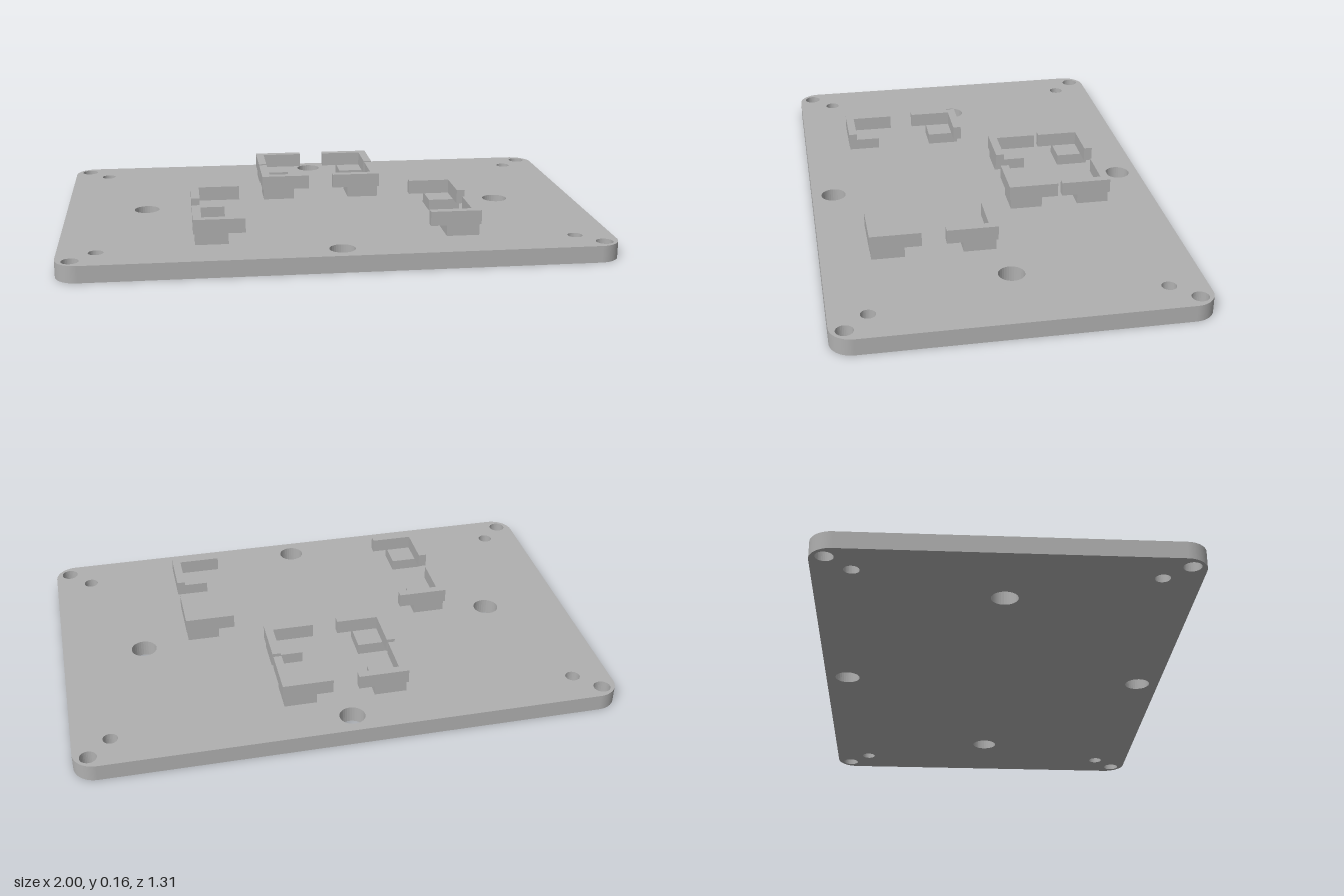
import * as THREE from 'three';

const PLATE_TOP = 0.062, LIP_BOTTOM = 0.104, LIP_TOP = 0.157;

// Extrudes a plan shape (x, -z) upward between two heights
function slab(shape, y0, y1, material, name) {
  const geo = new THREE.ExtrudeGeometry(shape, { depth: y1 - y0, bevelEnabled: false, curveSegments: 16 });
  geo.rotateX(-Math.PI / 2);
  geo.translate(0, y0, 0);
  const mesh = new THREE.Mesh(geo, material);
  mesh.name = name;
  return mesh;
}

function plateShape() {
  const w = 1, d = 0.653, r = 0.08;
  const s = new THREE.Shape();
  s.moveTo(-w + r, -d);
  s.absarc(w - r, -d + r, r, -Math.PI / 2, 0);
  s.absarc(w - r, d - r, r, 0, Math.PI / 2);
  s.absarc(-w + r, d - r, r, Math.PI / 2, Math.PI);
  s.absarc(-w + r, -d + r, r, Math.PI, Math.PI * 1.5);

  // Screw holes at the corners, larger holes mid-edge
  const hole = (x, y, radius) => s.holes.push(new THREE.Path().absarc(x, y, radius, 0, Math.PI * 2, true));
  for (const k of [-1, 1]) {
    for (const m of [-1, 1]) {
      hole(k * 0.945, m * 0.6, 0.031);
      hole(k * 0.862, m * 0.516, 0.027);
    }
    hole(k * 0.692, 0, 0.048);
    hole(0, k * 0.57, 0.047);
  }
  return s;
}

// Corner holder: a square post carrying an L-shaped lip.
// (x, z) is the outer corner; (dx, dz) point towards the pocket.
function cornerHolder(x, z, dx, dz, material) {
  const group = new THREE.Group();
  group.name = 'cornerHolder';
  const size = 0.187, wall = 0.031, inset = 0.006, post = 0.126;
  const outline = (pts) => new THREE.Shape(pts.map(([u, v]) => new THREE.Vector2(x + dx * u, -(z + dz * v))));
  group.add(slab(outline([[inset, inset], [post, inset], [post, post], [inset, post]]),
    PLATE_TOP, LIP_BOTTOM, material, 'post'));
  group.add(slab(outline([[0, 0], [size, 0], [size, wall], [wall, wall], [wall, size], [0, size]]),
    LIP_BOTTOM, LIP_TOP, material, 'lip'));
  return group;
}

export function createModel() {
  const model = new THREE.Group();
  model.name = 'mountingPlate';
  const grey = new THREE.MeshStandardMaterial({ color: 0xb0b0b0 });
  grey.name = 'grey';

  model.add(slab(plateShape(), 0, PLATE_TOP, grey, 'basePlate'));

  // Two pockets: half width, back z, front z
  const pockets = [
    ['smallPocket', 0.235, -0.474, -0.083],
    ['widePocket', 0.522, 0.014, 0.478],
  ];
  for (const [name, half, back, front] of pockets) {
    const pocket = new THREE.Group();
    pocket.name = name;
    for (const side of [-1, 1]) {
      pocket.add(cornerHolder(side * half, back, -side, 1, grey));
      pocket.add(cornerHolder(side * half, front, -side, -1, grey));
    }
    model.add(pocket);
  }
  return model;
}
